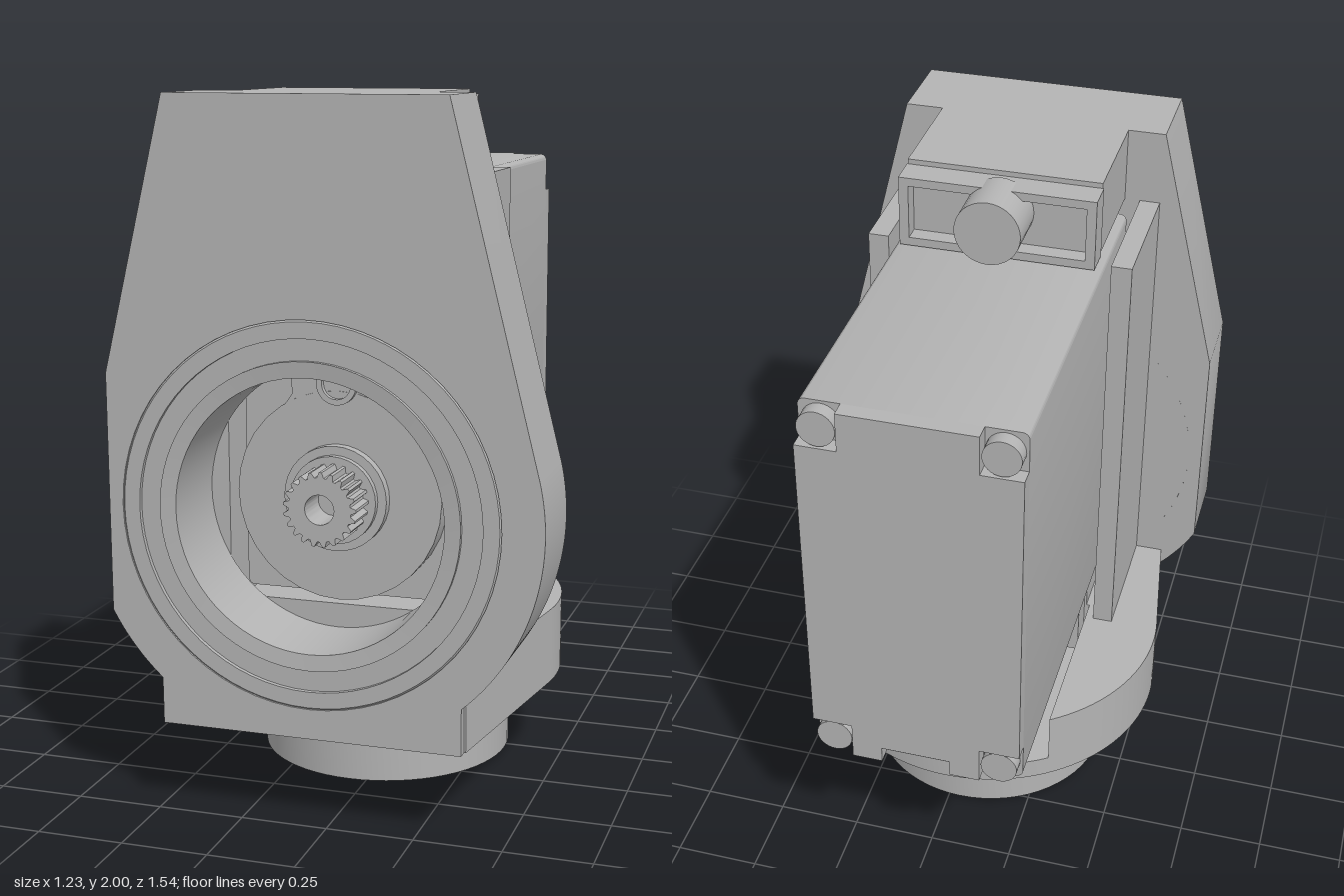
import * as THREE from 'three';
import { toCreasedNormals } from 'three/addons/utils/BufferGeometryUtils.js';

const CX = -0.04;   // shared x of the symmetry plane
const AXIS = 0.885; // height of the output shaft
const BZ = 0.06;    // z of the round base

export function createModel() {
  const model = new THREE.Group();
  const grey = new THREE.MeshStandardMaterial({ color: 0xb4b4b4 });
  grey.name = 'plain grey';

  function add(name, geometry, x = 0, y = 0, z = 0) {
    const mesh = new THREE.Mesh(geometry, grey);
    mesh.name = name;
    mesh.position.set(x, y, z);
    model.add(mesh);
    return mesh;
  }
  const smooth = (g) => toCreasedNormals(g, 0.5);
  const extrude = (shape, depth) =>
    smooth(new THREE.ExtrudeGeometry(shape, { depth, bevelEnabled: false, curveSegments: 32 }));
  // Shape in the front plane, pushed from z0 to z1
  const addZ = (name, shape, z0, z1) => add(name, extrude(shape, z1 - z0), 0, 0, z0);
  // Shape in the plan (x, -z), raised from y0 to y1
  const addY = (name, shape, y0, y1) => add(name, extrude(shape, y1 - y0).rotateX(-Math.PI / 2), 0, y0, 0);
  const addBox = (name, x0, x1, y0, y1, z0, z1) =>
    add(name, new THREE.BoxGeometry(x1 - x0, y1 - y0, z1 - z0), (x0 + x1) / 2, (y0 + y1) / 2, (z0 + z1) / 2);
  const poly = (pts) => new THREE.Shape(pts.map(([x, y]) => new THREE.Vector2(x, y)));
  const rect = (x0, x1, y0, y1) => poly([[x0, y0], [x1, y0], [x1, y1], [x0, y1]]);
  const circle = (x, y, r, S = THREE.Shape) => new S().absarc(x, y, r, 0, Math.PI * 2, false);
  // Cylinder along z
  const rodZ = (name, x, y, r, z0, z1) =>
    add(name, new THREE.CylinderGeometry(r, r, z1 - z0, 32).rotateX(Math.PI / 2), x, y, (z0 + z1) / 2);

  // Front plate: tapered top, rounded lower sides, foot, bearing hole
  const R = 0.65;
  const plate = new THREE.Shape();
  plate.moveTo(-0.47, 0.265);
  plate.lineTo(0.39, 0.265);
  plate.lineTo(0.39, AXIS - 0.487);
  plate.absarc(CX, AXIS, R, -0.847, 0.23, false);
  plate.lineTo(0.35, 2);
  plate.lineTo(-0.43, 2);
  plate.lineTo(-0.615, 1.25);
  plate.absarc(CX, AXIS, R, Math.PI + 0.485, Math.PI + 0.847, false);
  plate.holes.push(circle(CX, AXIS, 0.535, THREE.Path));
  addZ('frontPlate', plate, 0.515, 0.77);

  // Bearing rings set into the plate
  const ring = [[0.535, 0.515], [0.535, 0.765], [0.53, 0.77], [0.485, 0.77], [0.485, 0.757], [0.425, 0.757],
    [0.425, 0.77], [0.38, 0.765], [0.38, 0.515], [0.535, 0.515]];
  add('bearing', smooth(new THREE.LatheGeometry(ring.map(([r, z]) => new THREE.Vector2(r, z)), 72)
    .rotateX(Math.PI / 2)), CX, AXIS, 0);

  // Base floor: round at the back, tapering to the plate
  const r = 0.533, t = 0.148;
  const floor = new THREE.Shape();
  floor.moveTo(-0.475, -0.74);
  floor.lineTo(0.395, -0.74);
  floor.absarc(CX, -BZ, r, -t, Math.PI + t, false);
  addY('baseFloor', floor, 0.265, 0.33);

  // Base wall with a pocket open to the back
  const a = Math.acos(0.3 / r);
  const wall = new THREE.Shape();
  wall.moveTo(-0.475, -0.74);
  wall.lineTo(0.395, -0.74);
  wall.absarc(CX, -BZ, r, -t, a, false);
  wall.lineTo(CX + 0.3, -0.17);
  wall.lineTo(CX - 0.3, -0.17);
  wall.absarc(CX, -BZ, r, Math.PI - a, Math.PI + t, false);
  addY('baseWall', wall, 0.33, 0.49);
  addBox('lowerMount', CX - 0.29, CX + 0.29, 0.4, 0.575, 0.17, 0.515);

  // Spigot below the base with four pockets and a hub
  add('spigotCollar', new THREE.CylinderGeometry(0.42, 0.42, 0.02, 64), CX, 0.255, BZ);
  add('spigotTop', new THREE.CylinderGeometry(0.375, 0.375, 0.035, 64), CX, 0.2285, BZ);
  const spigot = circle(CX, -BZ, 0.375);
  spigot.holes.push(circle(CX, -BZ, 0.08, THREE.Path));
  for (let i = 0; i < 4; i++) {
    const mid = Math.PI / 4 + i * Math.PI / 2, h = 0.47;
    const pocket = new THREE.Path();
    pocket.absarc(CX, -BZ, 0.325, mid - h, mid + h, false);
    pocket.absarc(CX, -BZ, 0.17, mid + h, mid - h, true);
    pocket.closePath();
    spigot.holes.push(pocket);
  }
  addY('spigot', spigot, 0.015, 0.212);
  const hub = circle(CX, -BZ, 0.165);
  hub.holes.push(circle(CX, -BZ, 0.08, THREE.Path));
  addY('hub', hub, 0, 0.015);
  const pin = circle(CX, -BZ, 0.08);
  pin.holes.push(circle(CX, -BZ, 0.04, THREE.Path));
  addY('hubPin', pin, 0.04, 0.212);

  // Side plates that guide the motor case
  for (const s of [-1, 1]) {
    const x = CX + s * 0.355;
    addBox('sidePlate', x - 0.03, x + 0.03, 0.45, 1.78, 0.11, 0.515);
  }

  // Upper mount, mounting ears with recess, and their screws
  addBox('upperMount', CX - 0.28, CX + 0.28, 1.78, 2, 0.17, 0.52);
  for (const [y0, y1, sy] of [[1.775, 1.985, 1.9], [0.37, 0.58, 0.455]]) {
    const ear = rect(CX - 0.283, CX + 0.283, y0, y1);
    ear.holes.push(new THREE.Path(rect(CX - 0.255, CX + 0.255, y0 + 0.025, y1 - 0.025).getPoints()));
    addZ('earFrame', ear, 0.085, 0.17);
    addBox('earWeb', CX - 0.26, CX + 0.26, y0 + 0.01, y1 - 0.01, 0.135, 0.172);
    rodZ('earScrew', CX, sy, 0.095, -0.015, 0.14);
  }

  // Motor case with softly rounded long edges
  const L = CX - 0.302, Rt = CX + 0.302, B = 0.585, T = 1.768, c = 0.02;
  const body = new THREE.Shape();
  body.absarc(Rt - c, B + c, c, -Math.PI / 2, 0, false);
  body.absarc(Rt - c, T - c, c, 0, Math.PI / 2, false);
  body.absarc(L + c, T - c, c, Math.PI / 2, Math.PI, false);
  body.absarc(L + c, B + c, c, Math.PI, Math.PI * 1.5, false);
  addZ('motorCase', body, -0.72, 0.44);

  // Rear cover: notched corners and a cable slot in the lower edge
  const n = 0.115;
  addZ('rearCover', poly([[L + n, B], [CX - 0.1, B], [CX - 0.1, B + 0.05], [CX + 0.1, B + 0.05], [CX + 0.1, B],
    [Rt - n, B], [Rt - n, B + n], [Rt, B + n], [Rt, T - n], [Rt - n, T - n], [Rt - n, T], [L + n, T],
    [L + n, T - n], [L, T - n], [L, B + n], [L + n, B + n]]), -0.767, -0.72);
  for (const x of [L + 0.06, Rt - 0.06])
    for (const y of [B + 0.06, T - 0.06]) rodZ('caseScrew', x, y, 0.052, -0.762, -0.72);

  // Gear housing on the motor's front
  rodZ('gearBoss', CX, AXIS, 0.3, 0.44, 0.51);
  addZ('gearLobe', poly([[CX - 0.27, 0.98], [CX + 0.27, 0.98], [CX + 0.135, 1.17], [CX + 0.14, 1.26],
    [CX - 0.14, 1.26], [CX - 0.135, 1.17]]), 0.44, 0.508);
  const eyelet = circle(CX, 1.205, 0.058);
  eyelet.holes.push(circle(CX, 1.205, 0.042, THREE.Path));
  addZ('gearPin', eyelet, 0.5, 0.525);

  // Output shaft: collar and splined tip with a screw hole
  rodZ('shaftCollar', CX, AXIS, 0.15, 0.5, 0.54);
  rodZ('shaftStep', CX, AXIS, 0.125, 0.54, 0.56);
  const teeth = [];
  for (let i = 0; i < 84; i++) {
    const q = i * Math.PI / 42, rad = i % 4 < 2 ? 0.105 : 0.09;
    teeth.push([CX + rad * Math.cos(q), AXIS + rad * Math.sin(q)]);
  }
  const spline = poly(teeth);
  spline.holes.push(circle(CX, AXIS, 0.042, THREE.Path));
  addZ('splinedShaft', spline, 0.55, 0.67);

  return model;
}
